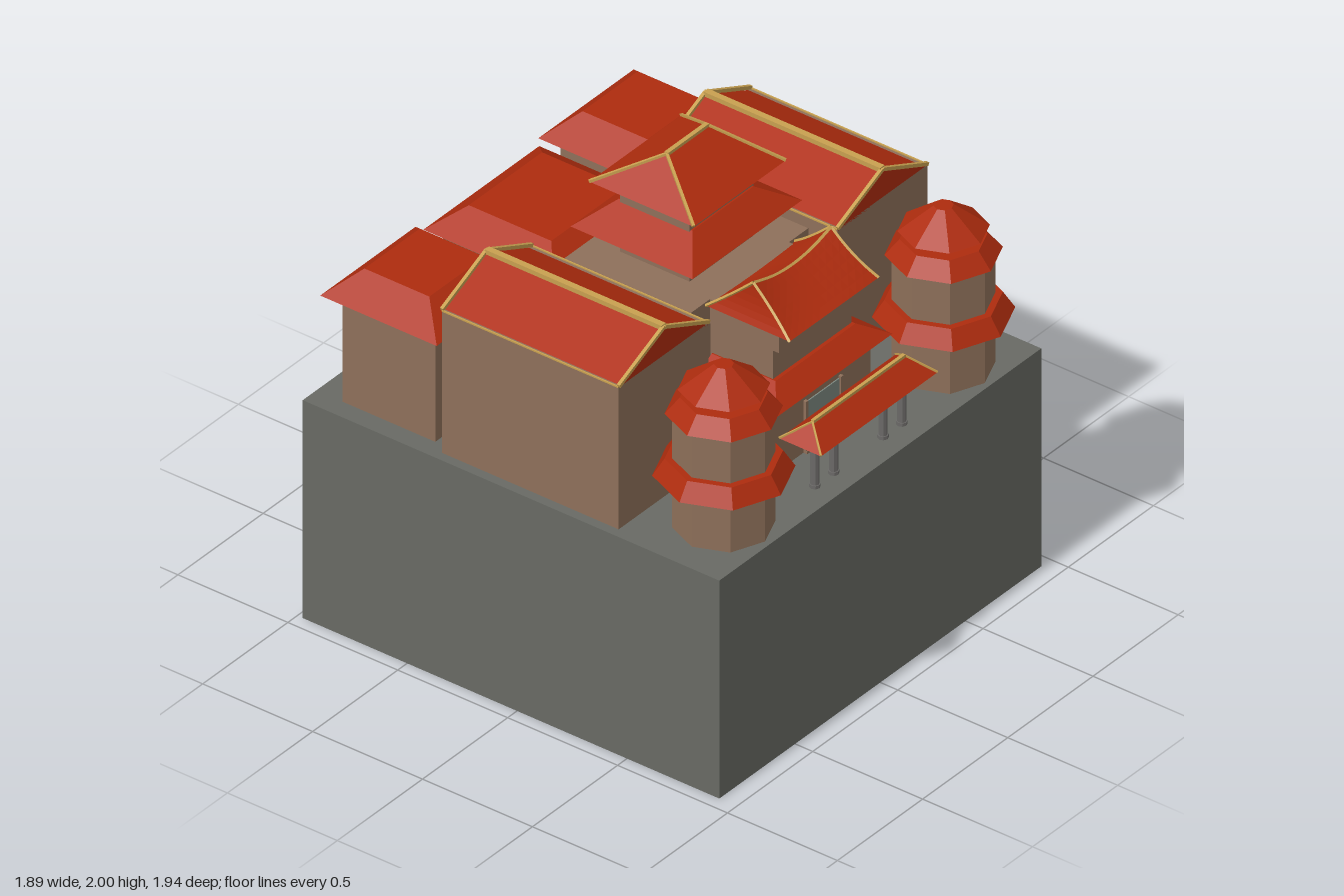
import * as THREE from 'three';

const mat = (color) => new THREE.MeshStandardMaterial({ color, flatShading: true, side: THREE.DoubleSide });
const wall = mat(0x8e705a), red = mat(0xae2c0e), gold = mat(0xc8a050);
const stone = mat(0x686a64), pillar = mat(0x6c6a68), glass = mat(0x7c8880);
const V = (x, y, z) => new THREE.Vector3(x, y, z);

function add(parent, name, geometry, material) {
  const mesh = new THREE.Mesh(geometry, material);
  mesh.name = name;
  parent.add(mesh);
  return mesh;
}

// Box given by its limits on each axis
function block(parent, name, x0, x1, y0, y1, z0, z1, material = wall) {
  const mesh = add(parent, name, new THREE.BoxGeometry(x1 - x0, y1 - y0, z1 - z0), material);
  mesh.position.set((x0 + x1) / 2, (y0 + y1) / 2, (z0 + z1) / 2);
}

// Solid between a lower and an upper rectangle [x0, x1, z0, z1]; the upper may shrink to a ridge
function hipRoof(parent, name, low, y0, high, y1) {
  const ring = ([x0, x1, z0, z1], y) => [V(x0, y, z1), V(x1, y, z1), V(x1, y, z0), V(x0, y, z0)];
  const a = ring(low, y0), b = ring(high, y1), tris = [];
  const quad = (p, q, r, s) => [[p, q, r], [p, r, s]].forEach((t) => {
    const area = t[1].clone().sub(t[0]).cross(t[2].clone().sub(t[0])).length();
    if (area > 1e-8) tris.push(...t);
  });
  for (let i = 0; i < 4; i++) quad(a[i], a[(i + 1) % 4], b[(i + 1) % 4], b[i]);
  quad(...b);
  quad(a[3], a[2], a[1], a[0]);
  const g = new THREE.BufferGeometry().setFromPoints(tris);
  g.computeVertexNormals();
  add(parent, name, g, red);
}

// Square gold trim between two points
function trim(parent, a, b, t = 0.014) {
  const mesh = add(parent, 'roofTrim', new THREE.BoxGeometry(t, t, a.distanceTo(b)), gold);
  mesh.position.copy(a).add(b).multiplyScalar(0.5);
  mesh.lookAt(b);
}

// Octagonal ring with a corner on each axis
function octagon(parent, name, rLow, rHigh, y0, y1, material) {
  add(parent, name, new THREE.CylinderGeometry(rHigh, rLow, y1 - y0, 8), material).position.y = (y0 + y1) / 2;
}

function cornerTower(x) {
  const g = new THREE.Group();
  g.name = 'cornerTower';
  octagon(g, 'towerWall', 0.188, 0.188, 0.945, 1.46, wall);
  octagon(g, 'lowerTowerRoof', 0.26, 0.215, 1.175, 1.245, red);
  octagon(g, 'middleTowerRoof', 0.215, 0.16, 1.44, 1.505, red);
  octagon(g, 'towerNeck', 0.11, 0.11, 1.5, 1.55, wall);
  octagon(g, 'topTowerRoof', 0.168, 0.037, 1.54, 1.64, red);
  g.position.set(x, 0, 0.708);
  return g;
}

// Long gabled wing with gold ridge and verges
function sideWing(x) {
  const g = new THREE.Group();
  g.name = 'sideWing';
  const z0 = -0.372, z1 = 0.432, h = 0.264, eave = 1.56, peak = 1.68;
  block(g, 'wingWall', -h, h, 0.945, eave, z0, z1);
  hipRoof(g, 'wingRoof', [-h, h, z0, z1], 1.553, [0, 0, z0, z1], peak);
  trim(g, V(0, peak, z0), V(0, peak, z1), 0.026);
  for (const s of [-1, 1]) {
    for (const z of [z0, z1]) trim(g, V(s * h, eave + 0.006, z), V(0, peak + 0.004, z));
    trim(g, V(s * h, eave + 0.002, z0), V(s * h, eave + 0.002, z1), 0.006);
  }
  g.position.x = x;
  return g;
}

function rearPavilion(x) {
  const g = new THREE.Group();
  g.name = 'rearPavilion';
  block(g, 'pavilionWall', -0.225, 0.225, 0.945, 1.42, -0.857, -0.434);
  hipRoof(g, 'pavilionRoof', [-0.28, 0.28, -0.915, -0.385], 1.41, [-0.162, 0.162, -0.805, -0.51], 1.51);
  g.position.x = x;
  return g;
}

// Saddle roof with sagging ridge and leaning gables
function saddleRoof(parent) {
  const at = (u, v) => {             // u along the ridge, v from eave to eave, both -1..1
    const t = 1 - Math.abs(v);
    const half = 0.262 - 0.034 * (1 - (1 - t) ** 2);
    return V(u * half, 1.53 + t * (0.118 + 0.042 * u * u) - 0.02 * t * (1 - t), 0.52 + v * 0.19);
  };
  const n = 12, m = 12, pos = [], idx = [];
  for (let i = 0; i <= n; i++) for (let j = 0; j <= m; j++) {
    pos.push(...at(-1 + 2 * i / n, -1 + 2 * j / m).toArray());
    if (i < n && j < m) {
      const a = i * (m + 1) + j, b = a + m + 1;
      idx.push(a, a + 1, b, b, a + 1, b + 1);
    }
  }
  // gable fills and underside
  for (let j = 0; j < m / 2; j++) {
    const k = m - j, e = n * (m + 1);
    idx.push(j, k, j + 1, j + 1, k, k - 1);
    idx.push(e + j, e + j + 1, e + k, e + j + 1, e + k - 1, e + k);
  }
  const c = n * (m + 1);
  idx.push(0, c, m, c, c + m, m);
  const g = new THREE.BufferGeometry();
  g.setAttribute('position', new THREE.Float32BufferAttribute(pos, 3));
  g.setIndex(idx);
  g.computeVertexNormals();
  add(parent, 'gateSaddleRoof', g, red);
  const path = (pts) => {
    const curve = new THREE.CatmullRomCurve3(pts);
    add(parent, 'gateRoofTrim', new THREE.TubeGeometry(curve, 12, 0.007, 4), gold);
  };
  const steps = [-1, -0.5, 0, 0.5, 1];
  path(steps.map((u) => at(u, 0)));
  for (const u of [-1, 1]) for (const s of [-1, 1]) path([1, 0.75, 0.5, 0.25, 0].map((v) => at(u, v * s)));
}

function gatehouse() {
  const g = new THREE.Group();
  g.name = 'gatehouse';
  block(g, 'gateLowerWall', -0.285, 0.285, 0.945, 1.26, 0.3, 0.655);
  block(g, 'gateMiddleWall', -0.23, 0.23, 1.26, 1.435, 0.3, 0.61);
  block(g, 'gateUpperWall', -0.232, 0.232, 1.435, 1.54, 0.32, 0.64);
  hipRoof(g, 'gateSkirtRoof', [-0.34, 0.34, 0.335, 0.712], 1.245, [-0.235, 0.235, 0.335, 0.625], 1.31);
  saddleRoof(g);
  // Door
  block(g, 'door', -0.098, 0.098, 0.955, 1.16, 0.65, 0.66, glass);
  for (const s of [-1, 1]) block(g, 'doorJamb', s * 0.103 - 0.007, s * 0.103 + 0.007, 0.945, 1.17, 0.65, 0.668);
  block(g, 'doorSill', -0.11, 0.11, 0.945, 0.957, 0.65, 0.672);
  // Porch roof on four columns
  hipRoof(g, 'porchRoof', [-0.342, 0.342, 0.725, 0.915], 1.16, [-0.27, 0.27, 0.82, 0.82], 1.233);
  trim(g, V(-0.27, 1.233, 0.82), V(0.27, 1.233, 0.82));
  for (const s of [-1, 1]) for (const z of [0.725, 0.915]) trim(g, V(s * 0.27, 1.233, 0.82), V(s * 0.342, 1.162, z), 0.007);
  for (const x of [-0.255, -0.145, 0.145, 0.255]) {
    add(g, 'porchColumn', new THREE.CylinderGeometry(0.017, 0.017, 0.225, 8), pillar).position.set(x, 1.057, 0.82);
    add(g, 'columnBase', new THREE.CylinderGeometry(0.021, 0.021, 0.014, 8), pillar).position.set(x, 0.952, 0.82);
  }
  return g;
}

function mainHall() {
  const g = new THREE.Group();
  g.name = 'mainHall';
  block(g, 'hallWall', -0.345, 0.345, 0.945, 1.54, -0.25, 0.325);
  block(g, 'hallTower', -0.188, 0.188, 1.54, 1.87, -0.118, 0.198);
  hipRoof(g, 'lowerHallRoof', [-0.322, 0.322, -0.24, 0.315], 1.67, [-0.18, 0.18, -0.13, 0.205], 1.76);
  hipRoof(g, 'upperHallRoof', [-0.27, 0.27, -0.195, 0.28], 1.855, [-0.118, 0.118, 0.04, 0.04], 1.992);
  trim(g, V(-0.12, 1.991, 0.04), V(0.12, 1.991, 0.04), 0.018);
  for (const s of [-1, 1]) for (const z of [-0.195, 0.28]) trim(g, V(s * 0.118, 1.992, 0.04), V(s * 0.27, 1.857, z), 0.011);
  return g;
}

export function createModel() {
  const model = new THREE.Group();
  model.name = 'palaceComplex';
  block(model, 'base', -0.945, 0.945, 0, 0.945, -0.975, 0.92, stone);
  for (const s of [-1, 1]) model.add(cornerTower(s * 0.645), sideWing(s * 0.642), rearPavilion(s * 0.64));
  // Rear hall
  block(model, 'rearHallWall', -0.285, 0.285, 0.945, 1.41, -0.845, -0.355);
  hipRoof(model, 'rearHallRoof', [-0.34, 0.34, -0.895, -0.302], 1.395, [-0.215, 0.215, -0.785, -0.41], 1.48);
  model.add(mainHall(), gatehouse());
  return model;
}
